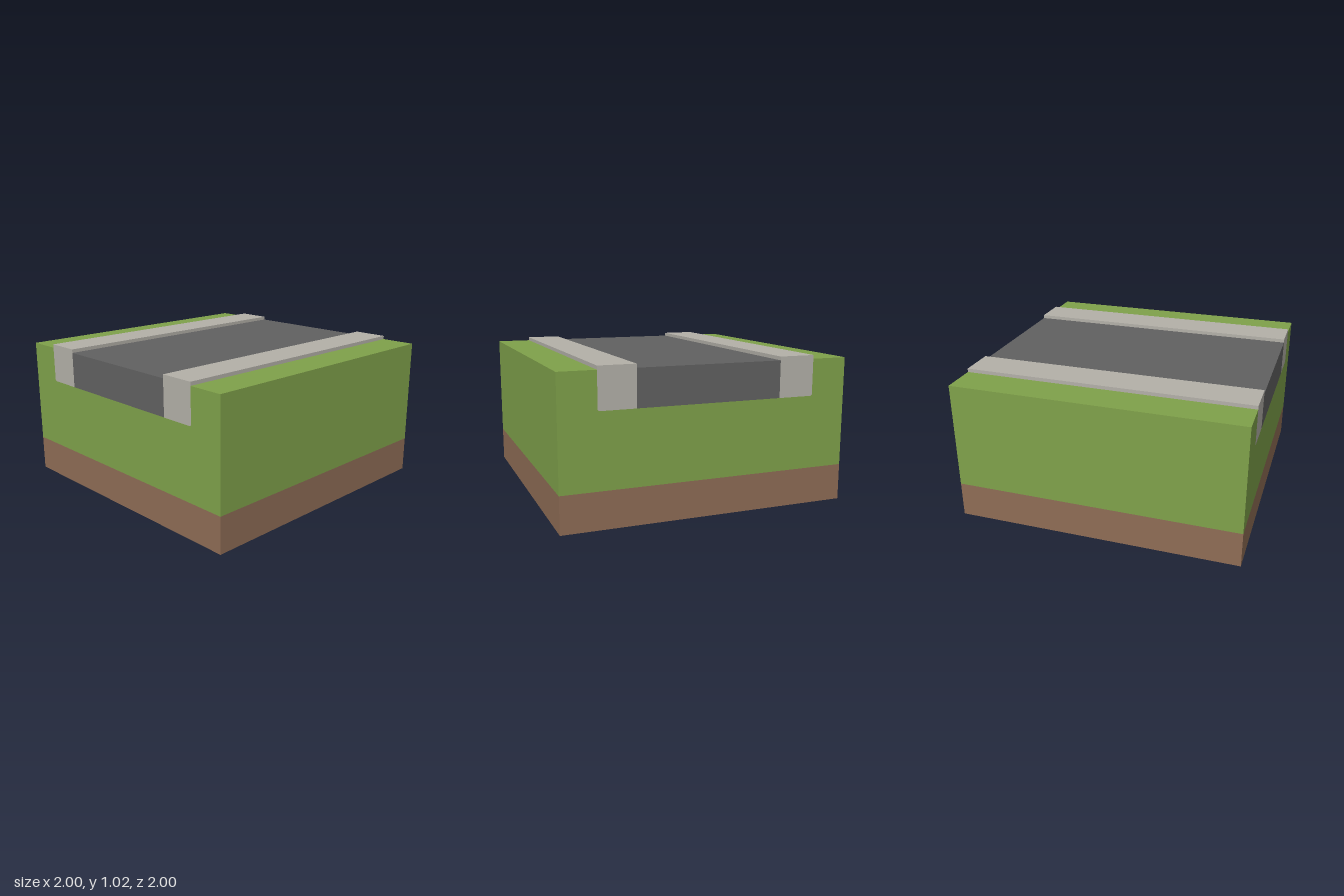
import * as THREE from 'three';

const mat = (name, color) => {
  const m = new THREE.MeshStandardMaterial({ color, side: THREE.DoubleSide });
  m.name = name;
  return m;
};

export function createModel() {
  const grass = mat('grass green', 0x7fa14a);
  const soil = mat('soil brown', 0x8e6c55);
  const asphalt = mat('asphalt grey', 0x616161);
  const stone = mat('pavement stone', 0xb3b0a8);

  const group = new THREE.Group();
  group.name = 'roadTile';

  const add = (parent, name, geometry, material) => {
    const mesh = new THREE.Mesh(geometry, material);
    mesh.name = name;
    parent.add(mesh);
  };

  // Open sheet running the full length in x; profile is [z, y] from back to front
  const sheet = (profile) => {
    const pos = [];
    for (let i = 0; i < profile.length - 1; i++) {
      const [z0, y0] = profile[i], [z1, y1] = profile[i + 1];
      pos.push(-1, y0, z0, -1, y1, z1, 1, y1, z1);
      pos.push(-1, y0, z0, 1, y1, z1, 1, y0, z0);
    }
    const g = new THREE.BufferGeometry();
    g.setAttribute('position', new THREE.Float32BufferAttribute(pos, 3));
    g.computeVertexNormals();
    return g;
  };

  // Flat outline on the end wall; every outline is given as [across, y]
  const endFace = (points, side) => {
    const shape = new THREE.Shape(points.map(([a, y]) => new THREE.Vector2(a, y)));
    return new THREE.ShapeGeometry(shape).rotateY(side * Math.PI / 2).translate(side, 0, 0);
  };

  // Ground, road and pavement surfaces; the tile is hollow and open below
  add(group, 'roadSurface', sheet([[-0.5, 1], [0.5, 1]]), asphalt);
  add(group, 'backGrass', sheet([[-1, 0.25], [-1, 1], [-0.75, 1]]), grass);
  add(group, 'frontGrass', sheet([[0.75, 1], [1, 1], [1, 0.25]]), grass);
  add(group, 'backSoil', sheet([[-1, 0], [-1, 0.25]]), soil);
  add(group, 'frontSoil', sheet([[1, 0.25], [1, 0]]), soil);
  add(group, 'backPavement', sheet([[-0.75, 1], [-0.75, 1.025], [-0.5, 1.025], [-0.5, 1]]), stone);
  add(group, 'frontPavement', sheet([[0.5, 1], [0.5, 1.025], [0.75, 1.025], [0.75, 1]]), stone);

  // End walls show the layers in section
  const c = 0.01; // small cut on the lower outer corners of the pavement
  const section = [[-0.75, 0.75 + c], [-0.75 + c, 0.75]];
  for (const side of [-1, 1]) {
    const wall = new THREE.Group();
    wall.name = side > 0 ? 'leftEndWall' : 'rightEndWall';
    group.add(wall);
    add(wall, 'soilSection', endFace([[-1, 0], [1, 0], [1, 0.25], [-1, 0.25]], side), soil);
    add(wall, 'grassSection', endFace([
      [-1, 0.25], [1, 0.25], [1, 1], [0.75, 1], [0.75, 0.75 + c], [0.75 - c, 0.75],
      [-0.75 + c, 0.75], [-0.75, 0.75 + c], [-0.75, 1], [-1, 1],
    ], side), grass);
    add(wall, 'roadSection', endFace([[-0.5, 0.75], [0.5, 0.75], [0.5, 1], [-0.5, 1]], side), asphalt);
    const kerb = [...section, [-0.5, 0.75], [-0.5, 1.025], [-0.75, 1.025]];
    add(wall, 'pavementSectionA', endFace(kerb, side), stone);
    add(wall, 'pavementSectionB', endFace(kerb.map(([a, y]) => [-a, y]), side), stone);
  }
  return group;
}
